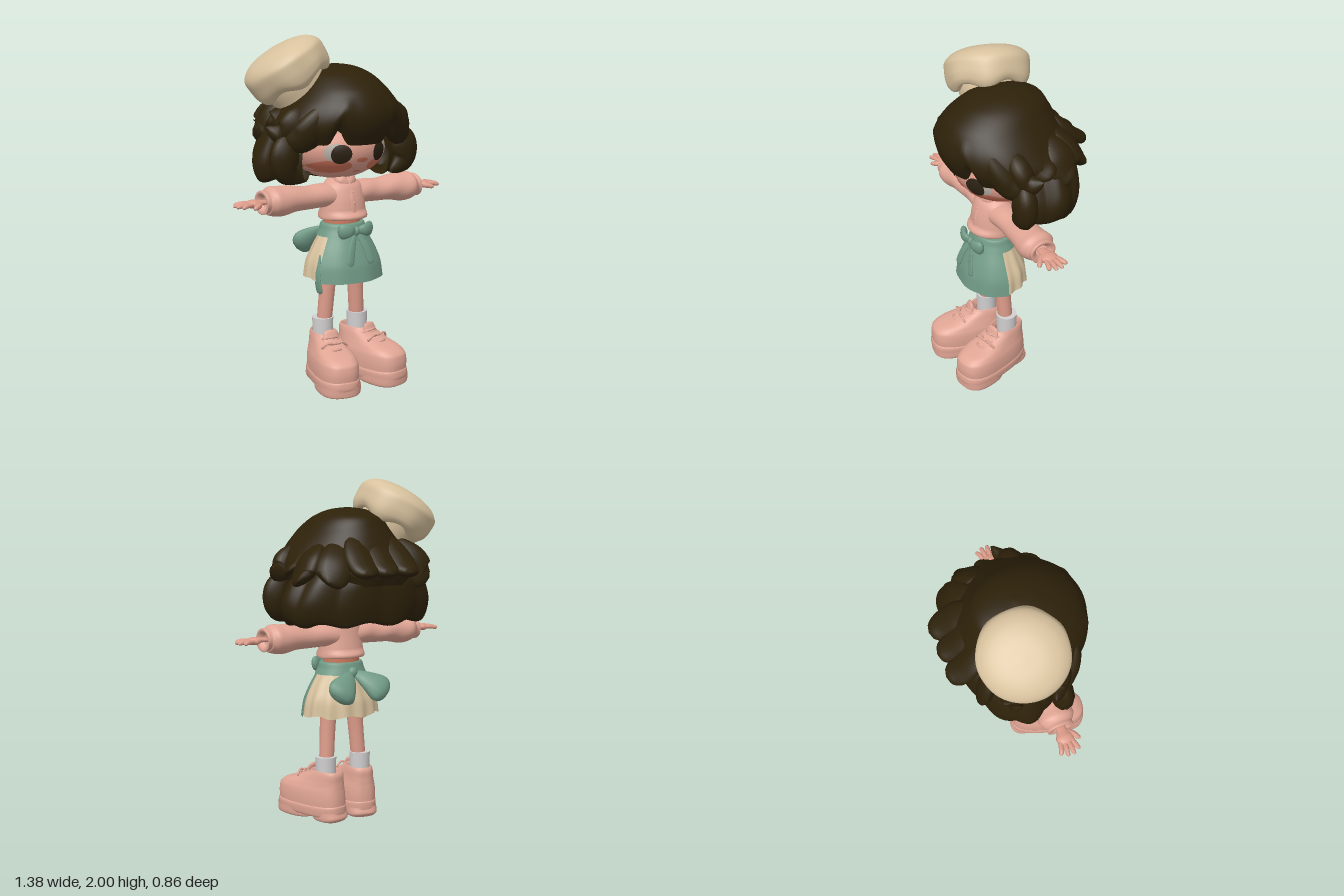
import * as THREE from 'three';
import { mergeVertices } from 'three/addons/utils/BufferGeometryUtils.js';

const mat = (name, color) => {
  const m = new THREE.MeshStandardMaterial({ color, side: THREE.DoubleSide });
  m.name = name;
  return m;
};
const V = (p) => new THREE.Vector3(...p);

export function createModel() {
  const root = new THREE.Group();
  root.name = 'girlInCap';
  const M = {
    hair: mat('darkBrownHair', 0x2d2109), skin: mat('skin', 0xdd9c8a), pink: mat('pinkCloth', 0xe0a594),
    cream: mat('creamCloth', 0xd8c29e), green: mat('greenApron', 0x719a86), sock: mat('sock', 0xd2d0d0),
    blush: mat('blush', 0xcf7259), eye: mat('eyeDark', 0x2c2114), white: mat('eyeWhite', 0xb5aca2),
    waist: mat('warmSkin', 0xcb7a5e),
  };
  const add = (name, geo, m, parent = root) => {
    const mesh = new THREE.Mesh(geo, m);
    mesh.name = name;
    parent.add(mesh);
  };
  const finish = (pos, rows, cols) => {
    const idx = [];
    for (let i = 0; i < rows - 1; i++) for (let j = 0; j < cols - 1; j++) {
      const a = i * cols + j, b = a + 1, c = a + cols, d = c + 1;
      idx.push(a, b, d, a, d, c);
    }
    let g = new THREE.BufferGeometry();
    g.setAttribute('position', new THREE.Float32BufferAttribute(pos, 3));
    g.setIndex(idx);
    g = mergeVertices(g, 1e-5);
    g.computeVertexNormals();
    return g;
  };
  // Stacked rounded sections [y, halfWidth, zFront, zBack], smoothed between the rows; angle 0 faces +z
  const loft = (rows, { a0 = 0, a1 = Math.PI * 2, n = 64, steps = 5, mod = () => [1, 0] } = {}) => {
    const A = new THREE.CatmullRomCurve3(rows.map((r) => V([r[0], r[1], 0])));
    const B = new THREE.CatmullRomCurve3(rows.map((r) => V([r[2], r[3], 0])));
    const pos = [], k = (rows.length - 1) * steps;
    for (let i = 0; i <= k; i++) {
      const p = A.getPoint(i / k), q = B.getPoint(i / k);
      const zc = (q.x + q.y) / 2, rz = (q.x - q.y) / 2;
      for (let j = 0; j <= n; j++) {
        const a = a0 + (a1 - a0) * j / n, [s, dy] = mod(a, i / k);
        pos.push(p.y * s * Math.sin(a), p.x + dy, zc + rz * s * Math.cos(a));
      }
    }
    return finish(pos, k + 1, n + 1);
  };
  // Round-ended strand along a path, flattened along the ref direction
  const strand = (pts, radii, flat = 1, ref = [0, 0, 1], seg = 20, n = 12) => {
    const c = new THREE.CatmullRomCurve3(pts.map(V));
    const R = new THREE.CatmullRomCurve3(radii.map((r, i) => V([r, i * 0.1, 0])));
    const pos = [];
    for (let i = 0; i <= seg; i++) {
      const u = i / seg, p = c.getPoint(u), t = c.getTangent(u);
      const r = Math.max(R.getPoint(u).x * Math.sqrt((1 - u ** 16) * (1 - (1 - u) ** 24)), 0.0004);
      const nn = V(ref).addScaledVector(t, -V(ref).dot(t)).normalize(), b = t.clone().cross(nn);
      for (let j = 0; j <= n; j++) {
        const a = j / n * Math.PI * 2;
        const q = p.clone().addScaledVector(nn, Math.cos(a) * r * flat).addScaledVector(b, Math.sin(a) * r);
        pos.push(q.x, q.y, q.z);
      }
    }
    return finish(pos, seg + 1, n + 1);
  };
  const ball = (x, y, z, rx, ry, rz) => new THREE.SphereGeometry(1, 28, 20).scale(rx, ry, rz).translate(x, y, z);

  // Head and face, with painted details laid on the face surface
  const H = { y: 1.37, z: 0.02, rx: 0.285, ry: 0.185, rz: 0.28 };
  add('head', ball(0, H.y, H.z, H.rx, H.ry, H.rz), M.skin);
  const patch = (name, cx, cy, rx, ry, m, off) => {
    const g = new THREE.RingGeometry(0.001, 1, 28, 5), p = g.attributes.position;
    for (let i = 0; i < p.count; i++) {
      const x = cx + p.getX(i) * rx, y = cy + p.getY(i) * ry;
      const d = 1 - (x / H.rx) ** 2 - ((y - H.y) / H.ry) ** 2;
      p.setXYZ(i, x, y, H.z + H.rz * Math.sqrt(Math.max(d, 0)) + off);
    }
    g.computeVertexNormals();
    add(name, g, m);
  };
  for (const s of [-1, 1]) {
    patch('blush', s * 0.148, 1.283, 0.097, 0.04, M.blush, 0.003);
    patch('eyeWhite', s * 0.148, 1.365, 0.06, 0.05, M.white, 0.005);
    patch('iris', s * 0.124, 1.357, 0.053, 0.054, M.eye, 0.008);
    add('ear', ball(s * 0.265, 1.3, 0.03, 0.03, 0.055, 0.04), M.skin);
  }
  patch('mouth', 0, 1.25, 0.022, 0.006, M.blush, 0.004);
  patch('noseBlush', 0, 1.32, 0.036, 0.014, M.blush, 0.004);
  add('neck', new THREE.CylinderGeometry(0.045, 0.05, 0.14, 24).translate(0, 1.2, 0.075), M.skin);

  // Hair: crown with fringe notches, lower bob, tufts
  const bump = (a, c, w) => Math.exp(-(((a - c) / w) ** 2));
  add('hairCrown', loft([[1.41, 0.375, 0.34, -0.35], [1.5, 0.4, 0.39, -0.375], [1.6, 0.345, 0.4, -0.3],
    [1.7, 0.265, 0.355, -0.25], [1.78, 0.19, 0.25, -0.2], [1.82, 0.11, 0.14, -0.1], [1.837, 0, 0.02, 0.02]], {
    n: 120,
    mod: (a, t) => {
      const f = a > Math.PI ? Math.PI * 2 - a : a, low = Math.max(0, 1 - t * 2.2);
      return [1 + 0.035 * low * (Math.abs(Math.cos(f * 5.5)) - 0.6), low * (0.085 * bump(f, 0.46, 0.09) + 0.02 * bump(f, 1.2, 0.4))];
    },
  }), M.hair);
  add('hairNape', ball(0, 1.375, -0.07, 0.3, 0.197, 0.23), M.hair);
  add('hairBob', loft([[1.27, 0.05, 0.08, 0.02], [1.25, 0.27, 0.08, -0.18], [1.2, 0.37, 0.14, -0.27],
    [1.2, 0.44, 0.19, -0.32], [1.3, 0.475, 0.2, -0.34], [1.42, 0.43, 0.18, -0.34], [1.54, 0.34, 0.14, -0.28]], {
    a0: 0.68, a1: Math.PI * 2 - 0.68, n: 110,
    mod: (a, t) => [1 + (t > 0.3 ? 0.04 : 0) * (Math.abs(Math.sin(a * 5)) - 0.6), 0.012 * Math.sin(a * 9)],
  }), M.hair);
  for (const s of [-1, 1]) {
    const lock = (pts, radii, flat, ref) =>
      add('hairLock', strand(pts.map(([x, y, z]) => [x * s, y, z]), radii, flat, ref), M.hair);
    lock([[0.17, 1.64, 0.25], [0.25, 1.53, 0.23], [0.33, 1.45, 0.19], [0.41, 1.42, 0.15]], [0.05, 0.09, 0.085, 0.04], 0.6);
    lock([[0.25, 1.6, 0.12], [0.33, 1.53, 0.13], [0.41, 1.475, 0.1], [0.48, 1.51, 0.06]], [0.06, 0.085, 0.06, 0.015], 0.8);
    lock([[0.24, 1.64, 0.01], [0.32, 1.56, 0.01], [0.37, 1.51, -0.01], [0.43, 1.49, -0.04]], [0.06, 0.09, 0.08, 0.04], 0.45, [1, 0.5, 0]);
    lock([[0.35, 1.47, 0.12], [0.4, 1.37, 0.13], [0.395, 1.27, 0.13], [0.3, 1.2, 0.14]], [0.05, 0.085, 0.075, 0.02], 0.75);
    lock([[0.25, 1.63, -0.08], [0.34, 1.54, -0.11], [0.39, 1.46, -0.13], [0.44, 1.44, -0.16]], [0.06, 0.1, 0.09, 0.04], 0.45, [1, 0.5, 0]);
    lock([[0.18, 1.64, -0.16], [0.25, 1.54, -0.24], [0.3, 1.46, -0.28], [0.34, 1.44, -0.31]], [0.06, 0.1, 0.09, 0.04], 0.45, [0.5, 0.4, -1]);
  }
  for (const x of [-0.135, 0, 0.135]) {
    add('backHairTuft', strand([[x * 0.7, 1.68, -0.19], [x * 0.9, 1.58, -0.27], [x, 1.5, -0.36], [x, 1.48, -0.43]],
      [0.05, 0.09, 0.085, 0.05], 0.5, [0, 0.4, -1]), M.hair);
  }

  // Tilted puffy cap with soft gathers under the crown
  const cap = new THREE.Group();
  cap.name = 'cap';
  cap.position.set(-0.27, 1.795, -0.047);
  cap.rotation.set(-0.2, 0, 0.5);
  root.add(cap);
  const sym = (rows) => rows.map(([y, r]) => [y, r, r, -r]);
  add('capBand', loft(sym([[-0.14, 0.165], [-0.08, 0.175], [0, 0.18]])), M.cream, cap);
  add('capPuff', loft(sym([[-0.06, 0.165], [-0.075, 0.2], [-0.045, 0.23], [0.01, 0.241], [0.07, 0.24], [0.115, 0.2], [0.145, 0.12], [0.155, 0]]), {
    n: 96,
    mod: (a, t) => [1 + 0.035 * Math.sin(a * 7 + 0.6 * Math.sin(a * 2)) * Math.max(0, 1 - t * 1.6), 0.022 * Math.sin(a * 5) * Math.max(0, 1 - t * 1.6)],
  }), M.cream, cap);

  // Cropped jacket, sleeves and hands
  add('jacket', loft([[0.98, 0.115, 0.185, 0], [0.965, 0.14, 0.215, -0.025], [1.01, 0.138, 0.215, -0.025],
    [1.08, 0.13, 0.205, -0.015], [1.15, 0.12, 0.18, -0.005], [1.19, 0.075, 0.14, 0.01], [1.2, 0.055, 0.125, 0.02]]), M.pink);
  add('waist', loft([[0.9, 0.113, 0.185, -0.005], [1.02, 0.11, 0.18, -0.005]]), M.waist);
  add('placket', strand([[0, 0.975, 0.214], [0, 1.08, 0.203], [0, 1.16, 0.172]], [0.016, 0.016, 0.012], 0.3), M.pink);
  for (const y of [1.0, 1.06, 1.12]) add('button', ball(0.004, y, 0.214 - Math.max(0, y - 1.04) * 0.3, 0.008, 0.008, 0.006), M.pink);
  for (const s of [-1, 1]) {
    add('collar', strand([[s * 0.005, 1.165, 0.165], [s * 0.045, 1.195, 0.135], [s * 0.06, 1.205, 0.06]], [0.012, 0.028, 0.01], 0.4), M.pink);
    const arm = new THREE.Group();
    arm.name = s > 0 ? 'leftArm' : 'rightArm';
    arm.position.set(0, 1.1, 0.085);
    arm.rotation.y = s > 0 ? 0 : Math.PI;
    root.add(arm);
    // Sleeve runs along x with soft folds
    const sleeve = loft(sym([[0.06, 0.07], [0.15, 0.068], [0.23, 0.066], [0.32, 0.073], [0.4, 0.083], [0.46, 0.084],
      [0.495, 0.068], [0.5, 0.062], [0.525, 0.066], [0.525, 0.05], [0.5, 0.028]]), {
      mod: (a, t) => [1 + 0.03 * Math.sin(t * 30 + 2 * Math.sin(a)), 0],
    }).rotateZ(-Math.PI / 2).scale(1, 1, 1.2);
    add('sleeve', sleeve, M.pink, arm);
    add('palm', strand([[0.49, 0, 0], [0.54, 0.003, 0], [0.58, 0, 0], [0.625, -0.003, 0]], [0.028, 0.032, 0.05, 0.035], 0.45, [0, 1, 0]), M.skin, arm);
    for (let i = 0; i < 4; i++) {
      const f = i - 1.5, l = 0.69 - (Math.abs(f) > 1 ? 0.022 : 0);
      add('finger', strand([[0.58, 0, f * 0.02], [0.64, 0, f * 0.029], [l, -0.008, f * 0.038]],
        [0.012, 0.0145, 0.011], 0.9, [0, 1, 0], 12, 8), M.skin, arm);
    }
    add('thumb', strand([[0.54, 0, s * 0.02], [0.575, -0.005, s * 0.055], [0.612, -0.014, s * 0.082]],
      [0.014, 0.017, 0.012], 0.9, [0, 1, 0], 12, 8), M.skin, arm);
  }

  // Skirt with pleats at sides and back, apron wrapped further to the left, waistband and bows
  const skirtRows = [[0.63, 0.235, 0.285, -0.09], [0.72, 0.222, 0.272, -0.08], [0.8, 0.188, 0.245, -0.05], [0.88, 0.145, 0.21, -0.02], [0.935, 0.122, 0.19, -0.005]];
  const fade = (a, t) => (1 - t) * Math.min(1, Math.max(0, 0.9 - 1.6 * Math.cos(a)));
  add('skirt', loft(skirtRows, { n: 112, mod: (a, t) => [1 + 0.035 * Math.sin(a * 14) * fade(a, t), 0.008 * Math.sin(a * 7) * fade(a, t)] }), M.cream);
  add('underSkirt', loft([[0.64, 0.222, 0.27, -0.075], [0.645, 0.14, 0.2, -0.02], [0.68, 0, 0.085, 0.085]]), M.cream);
  add('apron', loft(skirtRows.map(([y, w, f, b]) => [y - 0.012, w + 0.008, f + 0.014, b - 0.006]), {
    a0: -1.12, a1: 1.45, mod: (a, t) => [1 + 0.01 * Math.sin(a * 9) * (1 - t), 0],
  }), M.green);
  add('waistband', loft([[0.87, 0.158, 0.228, -0.035], [0.905, 0.142, 0.213, -0.025], [0.938, 0.13, 0.2, -0.014], [0.941, 0.112, 0.182, -0.002]]), M.green);
  for (const s of [-1, 1]) {
    add('frontBowLoop', strand([[0, 0.905, 0.23], [s * 0.045, 0.912, 0.25], [s * 0.09, 0.91, 0.232], [s * 0.112, 0.908, 0.215]],
      [0.012, 0.032, 0.044, 0.03], 0.5), M.green);
    add('frontBowTail', strand([[0, 0.9, 0.235], [s * 0.045, 0.82, 0.265], [s * 0.075, 0.715, 0.288]], [0.01, 0.022, 0.026], 0.3), M.green);
    add('backBowLoop', strand([[s * 0.01, 0.885, -0.025], [s * 0.07, 0.84, -0.085], [s * 0.13, 0.79, -0.12], [s * 0.17, 0.75, -0.135]],
      [0.02, 0.06, 0.088, 0.06], 0.55, [0, 0.5, -1]), M.green);
  }
  add('frontBowKnot', ball(0, 0.905, 0.238, 0.022, 0.026, 0.02), M.green);
  add('backBowKnot', ball(0, 0.885, -0.035, 0.03, 0.032, 0.025), M.green);
  add('sideRibbon', strand([[-0.185, 0.78, 0.14], [-0.215, 0.66, 0.165], [-0.205, 0.55, 0.175]], [0.02, 0.028, 0.034], 0.3, [1, 0, 0]), M.green);

  // Legs, socks and chunky shoes
  for (const s of [-1, 1]) {
    const side = s > 0 ? 'left' : 'right';
    add(side + 'Leg', strand([[s * 0.085, 0.78, 0.085], [s * 0.095, 0.6, 0.085], [s * 0.105, 0.46, 0.08], [s * 0.118, 0.27, 0.07]],
      [0.055, 0.048, 0.045, 0.045], 1, [0, 0, 1], 16, 24), M.skin);
    add(side + 'Sock', new THREE.CylinderGeometry(0.062, 0.058, 0.15, 28).translate(s * 0.12, 0.305, 0.07), M.sock);
    const shoe = new THREE.Group();
    shoe.name = side + 'Shoe';
    shoe.position.set(s * 0.115, 0, 0.08);
    shoe.rotation.y = s * 0.21;
    root.add(shoe);
    const taper = (a) => [1 + 0.09 * Math.sin(a * 2) ** 2, 0];
    const widen = (g) => {
      const p = g.attributes.position;
      for (let i = 0; i < p.count; i++) p.setX(i, p.getX(i) * (0.95 + 0.45 * p.getZ(i)));
      g.computeVertexNormals();
      return g;
    };
    add('shoeSole', widen(loft([[0.03, 0.08, 0.32, -0.1], [0.03, 0.112, 0.345, -0.125], [0.06, 0.12, 0.355, -0.13], [0.09, 0.118, 0.352, -0.13], [0.1, 0.1, 0.34, -0.12]], { mod: taper })), M.pink, shoe);
    add('shoeUpper', widen(loft([[0.07, 0.115, 0.345, -0.125], [0.13, 0.117, 0.35, -0.125], [0.18, 0.112, 0.343, -0.122], [0.21, 0.102, 0.305, -0.12],
      [0.238, 0.092, 0.21, -0.118], [0.285, 0.078, 0.1, -0.115], [0.298, 0.07, 0.085, -0.105], [0.27, 0.058, 0.06, -0.09]], { mod: taper })), M.pink, shoe);
    add('heelTread', loft([[0.0, 0, -0.04, -0.04], [0.0, 0.075, 0.045, -0.115], [0.01, 0.09, 0.055, -0.125], [0.06, 0.092, 0.055, -0.125]], { mod: taper }), M.pink, shoe);
    add('toeTread', loft([[0.0, 0, 0.2, 0.2], [0.0, 0.1, 0.335, 0.085], [0.01, 0.118, 0.35, 0.07], [0.06, 0.122, 0.352, 0.07]], { mod: taper }), M.pink, shoe);
    add('shoeTongue', strand([[0, 0.22, 0.16], [0, 0.275, 0.11], [0, 0.328, 0.09]], [0.045, 0.05, 0.04], 0.3), M.pink, shoe);
    for (let i = 0; i < 3; i++) {
      const y = 0.225 + i * 0.025, z = 0.2 - i * 0.04;
      add('lace', strand([[-0.06, y, z - 0.03], [0, y + 0.02, z + 0.012], [0.06, y, z - 0.03]], [0.007, 0.007, 0.007], 1, [0, 0, 1], 10, 6), M.pink, shoe);
    }
    for (const d of [-1, 1]) {
      add('laceBow', strand([[0, 0.26, 0.165], [d * 0.04, 0.275, 0.175], [d * 0.075, 0.245, 0.16], [d * 0.02, 0.25, 0.175]],
        [0.006, 0.007, 0.007, 0.006], 1, [0, 0.3, 1], 14, 6), M.pink, shoe);
    }
  }
  return root;
}
